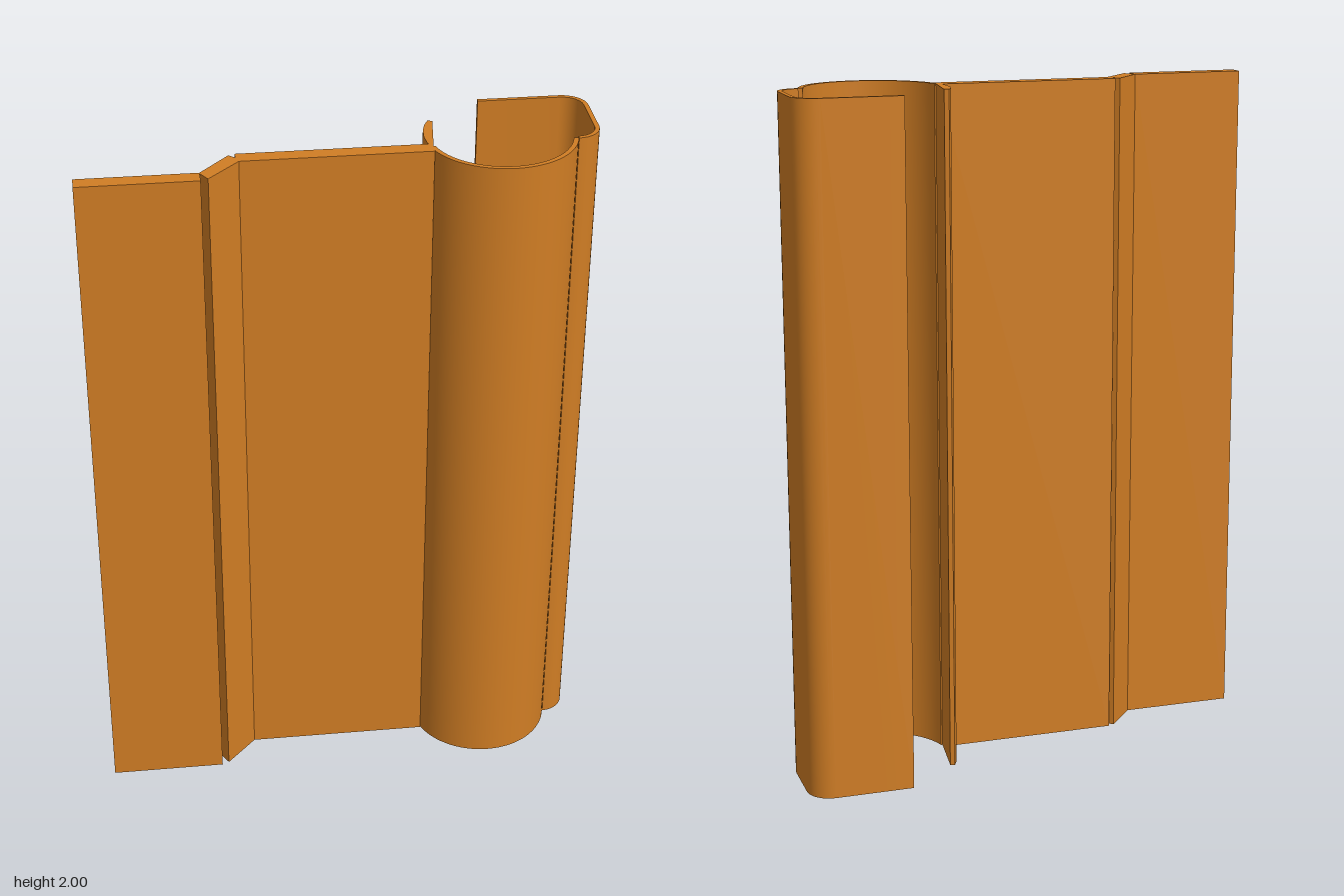
import * as THREE from 'three';
import { toCreasedNormals } from 'three/addons/utils/BufferGeometryUtils.js';

const HEIGHT = 2;

// Points along an arc in plan (x, z); angle 0 is +x, 90 degrees is +z
function arc(cx, cz, r, from, to, steps) {
  const pts = [];
  for (let i = 0; i <= steps; i++) {
    const a = THREE.MathUtils.degToRad(from + (to - from) * i / steps);
    pts.push([cx + r * Math.cos(a), cz + r * Math.sin(a)]);
  }
  return pts;
}

// Extrude a plan outline (x, z) up the full height
function profile(name, pts, material) {
  const shape = new THREE.Shape(pts.map(([x, z]) => new THREE.Vector2(x, -z)));
  let geo = new THREE.ExtrudeGeometry(shape, { depth: HEIGHT, bevelEnabled: false });
  geo.rotateX(-Math.PI / 2);
  geo = toCreasedNormals(geo, 0.45);
  const mesh = new THREE.Mesh(geo, material);
  mesh.name = name;
  return mesh;
}

const rect = (x0, x1, z0, z1) => [[x0, z0], [x1, z0], [x1, z1], [x0, z1]];

export function createModel() {
  const group = new THREE.Group();
  group.name = 'interlockProfile';
  const orange = new THREE.MeshStandardMaterial({ color: 0xd07d24 });
  orange.name = 'orange';
  const add = (name, pts) => group.add(profile(name, pts, orange));

  // Stepped plate
  add('outerFlange', rect(-0.72, -0.388, 0.148, 0.196));
  add('slopedWeb', [[-0.39, 0.15], [-0.305, 0.052], [-0.272, 0.083], [-0.368, 0.187]]);
  add('mainPlate', rect(-0.288, 0.245, 0.045, 0.092));

  // Tapered lip rising from the plate's end
  add('taperedLip', [[0.245, 0.07], [0.267, -0.098], [0.254, -0.102], [0.241, -0.075],
    [0.232, -0.04], [0.229, 0], [0.232, 0.035], [0.238, 0.06]]);

  // Round socket wall
  add('socketWall', [
    ...arc(0.44, 0.012, 0.209, 12, 166, 32),
    ...arc(0.44, 0.012, 0.195, 166, 12, 32),
  ]);

  // Thin hook: two rounded corners and a free end
  add('hook', [
    [0.413, -0.225],
    ...arc(0.645, -0.155, 0.07, -90, 0, 8),
    ...arc(0.645, -0.013, 0.07, 0, 90, 8),
    ...arc(0.645, -0.013, 0.057, 90, 0, 8),
    ...arc(0.645, -0.155, 0.057, 0, -90, 8),
    [0.413, -0.212],
  ]);

  return group;
}
